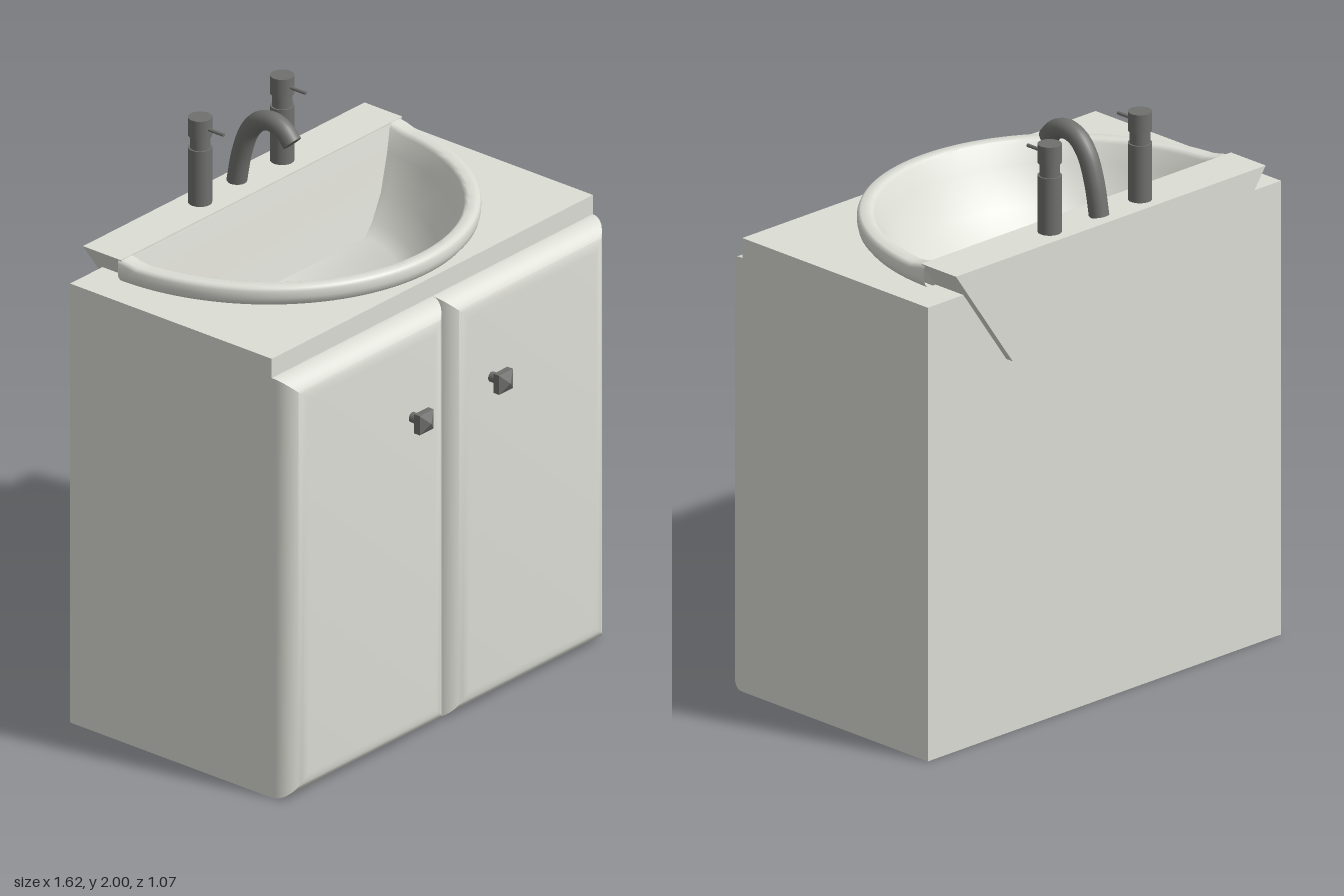
import * as THREE from 'three';
import { toCreasedNormals } from 'three/addons/utils/BufferGeometryUtils.js';

const white = new THREE.MeshStandardMaterial({ color: 0xdcddd5, side: THREE.DoubleSide });
white.name = 'white ceramic and lacquer';
const metal = new THREE.MeshStandardMaterial({ color: 0x70706e, side: THREE.DoubleSide });
metal.name = 'dark metal';

function add(parent, name, geometry, material, x = 0, y = 0, z = 0) {
  const mesh = new THREE.Mesh(geometry, material);
  mesh.name = name;
  mesh.position.set(x, y, z);
  parent.add(mesh);
  return mesh;
}

// Skin between rows of points
function loft(rows) {
  const n = rows[0].length, index = [];
  for (let s = 0; s < rows.length - 1; s++) {
    for (let i = 0; i < n - 1; i++) {
      const a = s * n + i, b = a + n;
      index.push(a, b, a + 1, a + 1, b, b + 1);
    }
  }
  const geo = new THREE.BufferGeometry().setFromPoints(rows.flat());
  geo.setIndex(index);
  return toCreasedNormals(geo, 0.75);
}

function polygon(points) {
  return new THREE.Shape(points.map(([x, y]) => new THREE.Vector2(x, y)));
}

function buildCabinet() {
  const g = new THREE.Group();
  g.name = 'cabinet';
  for (const s of [-1, 1]) {
    add(g, 'sidePanel', new THREE.BoxGeometry(0.03, 1.53, 0.87), white, s * 0.795, 0.765, -0.065);
  }
  add(g, 'backPanel', new THREE.BoxGeometry(1.56, 1.53, 0.03), white, 0, 0.765, -0.485);
  add(g, 'frontFrame', new THREE.BoxGeometry(1.56, 1.53, 0.03), white, 0, 0.765, 0.355);
  add(g, 'bottomPanel', new THREE.BoxGeometry(1.56, 0.03, 0.81), white, 0, 0.015, -0.065);

  // Countertop with the basin cut-out
  const top = polygon([[-0.81, -0.5], [0.81, -0.5], [0.81, 0.37], [-0.81, 0.37]]);
  const hole = new THREE.Path();
  hole.absellipse(0, -0.37, 0.66, 0.69, 0, Math.PI);
  hole.closePath();
  top.holes.push(hole);
  const topGeo = new THREE.ExtrudeGeometry(top, { depth: 0.07, bevelEnabled: false, curveSegments: 32 });
  add(g, 'countertop', topGeo.rotateX(Math.PI / 2), white, 0, 1.6, 0);

  // Pillowed doors and their pyramid knobs
  const r = 0.085, w = 0.405 - r, h = 0.765 - r;
  const door = toCreasedNormals(new THREE.ExtrudeGeometry(
    polygon([[-w, -h], [w, -h], [w, h], [-w, h]]),
    { depth: 0.001, bevelSize: r, bevelThickness: r, bevelSegments: 10 }), 0.6);
  for (const s of [-1, 1]) {
    add(g, 'door', door, white, s * 0.405, 0.765, 0.369);
    const knob = new THREE.Group();
    knob.name = 'knob';
    knob.position.set(s * 0.2, 1.19, 0.455);
    add(knob, 'knobStem', new THREE.CylinderGeometry(0.018, 0.018, 0.04, 16).rotateX(Math.PI / 2), metal, 0, 0, 0.02);
    add(knob, 'knobPlate', new THREE.BoxGeometry(0.07, 0.07, 0.024), metal, 0, 0, 0.05);
    const tip = new THREE.ConeGeometry(0.035 * Math.SQRT2, 0.02, 4, 1, true).toNonIndexed();
    tip.computeVertexNormals();
    add(knob, 'knobTip', tip.rotateY(Math.PI / 4).rotateX(Math.PI / 2), metal, 0, 0, 0.072);
    g.add(knob);
  }
  return g;
}

function buildBasin() {
  const g = new THREE.Group();
  g.name = 'basin';

  // Half-ellipse sections: half width, depth, back z, height, rise towards the deck
  const sections = [
    [0.68, 0.715, -0.38, 1.6, 0],
    [0.695, 0.73, -0.38, 1.607, 0],
    [0.706, 0.741, -0.38, 1.62, 0],
    [0.71, 0.745, -0.38, 1.637, 0],
    [0.71, 0.745, -0.38, 1.66, 0.014],
    [0.706, 0.741, -0.38, 1.67, 0.014],
    [0.697, 0.732, -0.378, 1.675, 0.014],
    [0.66, 0.695, -0.37, 1.675, 0.014],
    [0.65, 0.685, -0.366, 1.672, 0.014],
    [0.643, 0.675, -0.364, 1.662, 0.014],
    [0.615, 0.63, -0.351, 1.6, 0],
    [0.56, 0.53, -0.331, 1.48, 0],
    [0.5, 0.43, -0.317, 1.4, 0],
    [0.455, 0.36, -0.31, 1.36, 0],
    [0, 0, -0.31, 1.36, 0],
  ];
  const N = 64;
  const rows = sections.map(([a, b, zc, y, rise]) => Array.from({ length: N + 1 }, (_, i) => {
    const t = Math.PI * i / N, z = zc + b * Math.sin(t);
    return new THREE.Vector3(a * Math.cos(t), y + rise * (1 - THREE.MathUtils.smoothstep(z, -0.37, -0.31)), z);
  }));
  add(g, 'rimAndBowl', loft(rows), white);
  add(g, 'bowlBackWall', loft(rows.slice(8, 14).map(row => [row[N], row[0]])), white);

  // Tap deck, tapering downwards behind the cabinet
  const deck = new THREE.ExtrudeGeometry(
    polygon([[-0.45, 1.32], [0.45, 1.32], [0.71, 1.69], [-0.71, 1.69]]),
    { depth: 0.163, bevelEnabled: false });
  add(g, 'tapDeck', deck, white, 0, 0, -0.53);
  return g;
}

function buildTaps() {
  const g = new THREE.Group();
  g.name = 'taps';
  for (const s of [-1, 1]) {
    const tap = new THREE.Group();
    tap.name = 'tapHandle';
    tap.position.set(s * 0.207, 0, -0.455);
    add(tap, 'tapBody', new THREE.CylinderGeometry(0.04, 0.04, 0.2, 32), metal, 0, 1.79, 0);
    add(tap, 'tapNeck', new THREE.CylinderGeometry(0.034, 0.034, 0.05, 32), metal, 0, 1.913, 0);
    add(tap, 'tapCap', new THREE.CylinderGeometry(0.04, 0.04, 0.066, 32), metal, 0, 1.967, 0);
    add(tap, 'tapLever', new THREE.CylinderGeometry(0.006, 0.006, 0.1, 12).rotateX(Math.PI / 2), metal, 0, 1.965, 0.053);
    g.add(tap);
  }

  // Curved spout, as height and z along its centre line
  const path = new THREE.CatmullRomCurve3([
    [1.69, -0.468], [1.8, -0.446], [1.89, -0.412], [1.938, -0.368],
    [1.953, -0.315], [1.937, -0.265], [1.9, -0.228],
  ].map(([y, z]) => new THREE.Vector3(0, y, z)));
  add(g, 'spout', new THREE.TubeGeometry(path, 40, 0.034, 20), metal, -0.007, 0, 0);
  const end = path.getPoint(1), dir = path.getTangent(1);
  const mouth = add(g, 'spoutMouth', new THREE.CircleGeometry(0.034, 20), metal, -0.007, end.y, end.z);
  mouth.quaternion.setFromUnitVectors(new THREE.Vector3(0, 0, 1), dir);
  return g;
}

export function createModel() {
  const model = new THREE.Group();
  model.name = 'washbasinCabinet';
  model.add(buildCabinet(), buildBasin(), buildTaps());
  return model;
}
